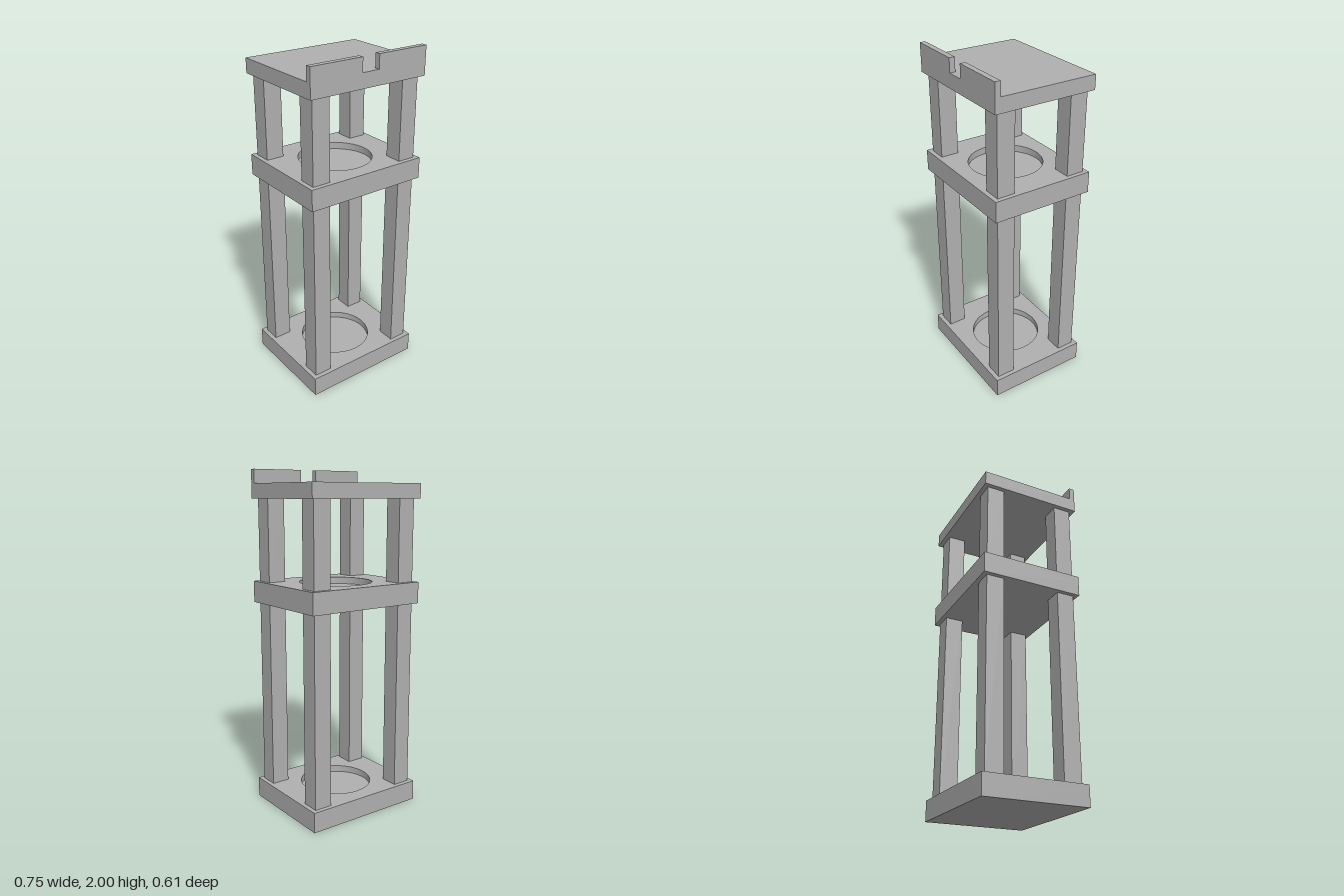
import * as THREE from 'three';

const W = 0.746, D = 0.614;            // plate footprint
const BASE_TOP = 0.12, SHELF_BOTTOM = 1.235, SHELF_TOP = 1.36;
const ROOF_BOTTOM = 1.835, ROOF_TOP = 1.92, HEIGHT = 2;
const RECESS_R = 0.213, RECESS_DEPTH = 0.04;

export function createModel() {
  const model = new THREE.Group();
  model.name = 'stand';
  const grey = new THREE.MeshStandardMaterial({ color: 0xb0b0b0 });
  grey.name = 'grey';

  // Box given by its lower and upper limits on each axis
  function block(name, [x0, x1], [y0, y1], [z0, z1], parent = model) {
    const mesh = new THREE.Mesh(new THREE.BoxGeometry(x1 - x0, y1 - y0, z1 - z0), grey);
    mesh.position.set((x0 + x1) / 2, (y0 + y1) / 2, (z0 + z1) / 2);
    mesh.name = name;
    parent.add(mesh);
  }

  // Plate with a shallow round recess in its top
  function recessedPlate(name, y0, y1) {
    const plate = new THREE.Group();
    plate.name = name;
    const floor = y1 - RECESS_DEPTH;
    block(name + 'Floor', [-W / 2, W / 2], [y0, floor], [-D / 2, D / 2], plate);

    const outline = new THREE.Shape([
      new THREE.Vector2(-W / 2, -D / 2), new THREE.Vector2(W / 2, -D / 2),
      new THREE.Vector2(W / 2, D / 2), new THREE.Vector2(-W / 2, D / 2),
    ]);
    outline.holes.push(new THREE.Path().absarc(0, 0, RECESS_R, 0, Math.PI * 2, true));
    const rimGeometry = new THREE.ExtrudeGeometry(outline, {
      depth: RECESS_DEPTH, bevelEnabled: false, curveSegments: 48,
    });
    rimGeometry.rotateX(-Math.PI / 2);
    const rim = new THREE.Mesh(rimGeometry, grey);
    rim.position.y = floor;
    rim.name = name + 'Rim';
    plate.add(rim);
    model.add(plate);
  }

  recessedPlate('base', 0, BASE_TOP);
  recessedPlate('shelf', SHELF_BOTTOM, SHELF_TOP);
  block('roof', [-W / 2, W / 2], [ROOF_BOTTOM, ROOF_TOP], [-D / 2, D / 2]);

  // Front lip in two halves with a central gap
  block('rightLip', [-W / 2, -0.053], [ROOF_TOP, HEIGHT], [0.274, D / 2]);
  block('leftLip', [0.053, W / 2], [ROOF_TOP, HEIGHT], [0.274, D / 2]);

  // Four square posts on each of the two levels
  for (const [level, y0, y1] of [['lower', BASE_TOP, SHELF_BOTTOM], ['upper', SHELF_TOP, ROOF_BOTTOM]]) {
    for (const [side, x] of [['Left', [0.24, 0.347]], ['Right', [-0.347, -0.24]]]) {
      for (const [end, z] of [['Front', [0.173, 0.28]], ['Back', [-0.28, -0.173]]]) {
        block(level + end + side + 'Post', x, [y0, y1], z);
      }
    }
  }
  return model;
}
